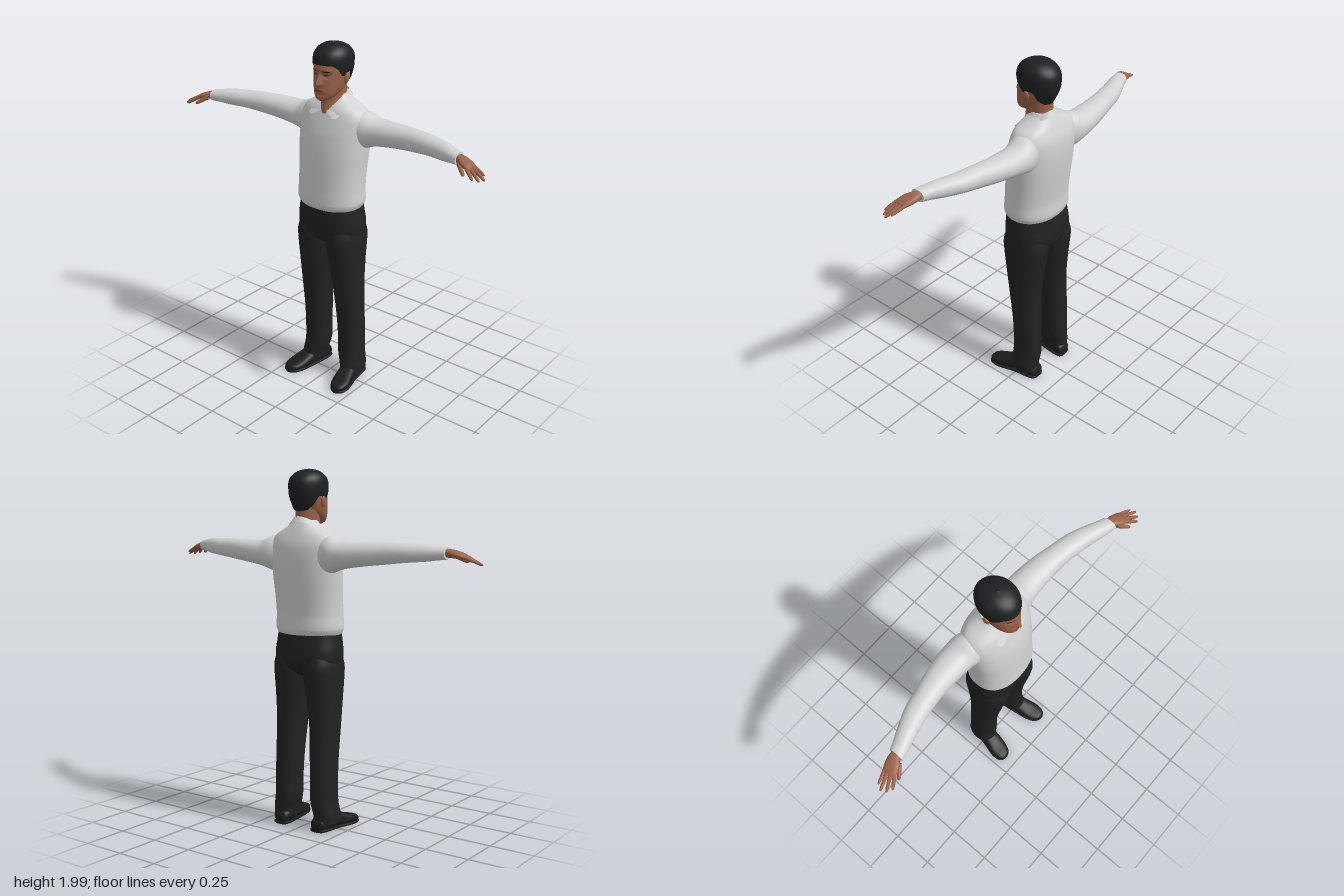
import * as THREE from 'three';

const mat = (name, color, side = THREE.FrontSide) => {
  const m = new THREE.MeshStandardMaterial({ color, side });
  m.name = name;
  return m;
};

// Smooth interpolation of a ring table [key, centreX, halfWidth, zFront, zBack] at a key
function sample(rings, key) {
  let i = 0;
  while (i < rings.length - 2 && key > rings[i + 1][0]) i++;
  const a = rings[i], b = rings[i + 1], p = rings[i - 1] || a, q = rings[i + 2] || b;
  const h = b[0] - a[0], t = (key - a[0]) / h, t2 = t * t, t3 = t2 * t;
  return a.map((v, k) => k === 0 ? key :
    v * (2 * t3 - 3 * t2 + 1) + b[k] * (3 * t2 - 2 * t3) +
    (t3 - 2 * t2 + t) * h * (b[k] - p[k]) / (b[0] - p[0]) +
    (t3 - t2) * h * (q[k] - v) / (q[0] - a[0]));
}

// Point on a superelliptic ring; angle 0 faces +z
function ringPoint([y, cx, w, zf, zb], t, n = 2) {
  const pow = v => Math.sign(v) * Math.abs(v) ** (2 / n);
  return [cx + w * pow(Math.sin(t)), y, (zf + zb) / 2 + (zf - zb) / 2 * pow(Math.cos(t))];
}

// Closed surface from rows of points, each row wrapping round
function skinRows(rows, caps = true) {
  const seg = rows[0].length, pos = rows.flat(2), idx = [];
  for (let i = 0; i < rows.length - 1; i++)
    for (let j = 0; j < seg; j++) {
      const k = (j + 1) % seg, a = i * seg + j, b = i * seg + k;
      idx.push(a, b, b + seg, a, b + seg, a + seg);
    }
  if (caps) for (const end of [0, rows.length - 1]) {
    const base = pos.length / 3, row = rows[end];
    pos.push(...row.flat());
    for (let c = 0; c < 3; c++) pos.push(row.reduce((s, p) => s + p[c], 0) / seg);
    for (let j = 0; j < seg; j++) {
      const a = base + j, b = base + (j + 1) % seg;
      idx.push(base + seg, ...(end ? [a, b] : [b, a]));
    }
  }
  const g = new THREE.BufferGeometry();
  g.setAttribute('position', new THREE.Float32BufferAttribute(pos, 3));
  g.setIndex(idx);
  g.computeVertexNormals();
  return g;
}

function loft(rings, { n = 2, seg = 32, sub = 5, tweak } = {}) {
  const rows = [];
  for (let i = 0; i <= (rings.length - 1) * sub; i++) {
    const s = Math.min(Math.floor(i / sub), rings.length - 2), f = i / sub - s;
    const ring = sample(rings, rings[s][0] * (1 - f) + rings[s + 1][0] * f);
    rows.push(Array.from({ length: seg }, (_, j) => {
      const p = ringPoint(ring, j / seg * Math.PI * 2, n);
      return tweak ? tweak(p) : p;
    }));
  }
  return skinRows(rows);
}

function mirrored(geo) {
  const g = geo.clone().applyMatrix4(new THREE.Matrix4().makeScale(-1, 1, 1));
  const ix = g.index.array;
  for (let i = 0; i < ix.length; i += 3) [ix[i], ix[i + 1]] = [ix[i + 1], ix[i]];
  return g;
}

// Head profile, with nose, brow and eye sockets pushed in by rule
const HEAD = [
  [1.693, 0, 0.018, 0.085, 0.03], [1.705, 0, 0.042, 0.1, 0], [1.73, 0, 0.064, 0.102, -0.04],
  [1.76, 0, 0.077, 0.1, -0.08], [1.8, 0, 0.086, 0.098, -0.11], [1.84, 0, 0.091, 0.095, -0.125],
  [1.88, 0, 0.092, 0.091, -0.13], [1.92, 0, 0.088, 0.08, -0.125], [1.95, 0, 0.068, 0.055, -0.1],
  [1.97, 0, 0.03, 0.02, -0.06]];
const bell = (v, c, s) => Math.exp(-(((v - c) / s) ** 2));
const faceBump = (x, y) => {
  const ridge = y > 1.787 ? Math.max(0, 1 - (y - 1.787) / 0.065) : bell(y, 1.787, 0.012);
  const ax = Math.abs(x);
  return 0.027 * ridge * bell(x, 0, 0.009 + 0.008 * ridge)
    - 0.009 * bell(ax, 0.035, 0.02) * bell(y, 1.832, 0.014)
    + 0.004 * bell(ax, 0.035, 0.03) * bell(y, 1.858, 0.012)
    + 0.005 * bell(x, 0, 0.028) * bell(y, 1.753, 0.012)
    - 0.004 * bell(x, 0, 0.03) * bell(y, 1.731, 0.008);
};
const faceZ = (x, y) => {
  const [, , w, zf, zb] = sample(HEAD, y);
  return (zf + zb) / 2 + (zf - zb) / 2 * Math.sqrt(Math.max(0, 1 - (x / w) ** 2)) + faceBump(x, y);
};

// Thin oval painted on the face
function facePatch(cx, cy, rx, ry, tilt = 0) {
  const g = new THREE.CircleGeometry(1, 20).scale(rx, ry, 1).rotateZ(tilt).translate(cx, cy, 0);
  const p = g.attributes.position;
  for (let i = 0; i < p.count; i++) p.setZ(i, faceZ(p.getX(i), p.getY(i)) + 0.0022);
  g.computeVertexNormals();
  return g;
}

// Hair cap whose lower edge follows the hairline
function hairGeometry() {
  const prof = [
    [1.75, 0, 0.066, 0.04, -0.1], [1.8, 0, 0.086, 0.07, -0.126], [1.84, 0, 0.096, 0.092, -0.144],
    [1.88, 0, 0.1, 0.099, -0.15], [1.92, 0, 0.1, 0.094, -0.146], [1.95, 0, 0.088, 0.076, -0.126],
    [1.973, 0, 0.063, 0.044, -0.092], [1.984, 0, 0.033, 0.012, -0.055], [1.988, 0, 0.002, -0.02, -0.024]];
  const line = [[0, 1.888], [0.7, 1.885], [1.0, 1.865], [1.2, 1.825], [1.45, 1.82], [1.6, 1.845],
    [1.85, 1.84], [2.1, 1.795], [2.5, 1.768], [3.15, 1.76]];
  const edge = t => {
    const a = Math.min(t, Math.PI * 2 - t);
    const i = line.findIndex(l => l[0] > a), [p, q] = [line[i - 1], line[i]];
    return p[1] + (q[1] - p[1]) * (a - p[0]) / (q[0] - p[0]);
  };
  const rows = [];
  for (let i = -1; i <= 30; i++)
    rows.push(Array.from({ length: 64 }, (_, j) => {
      const t = j / 64 * Math.PI * 2, v = Math.max(i, 0) / 30, low = edge(t);
      const p = ringPoint(sample(prof, low + (1.988 - low) * (1 - (1 - v) ** 1.6)), t);
      return i < 0 ? [p[0] * 0.84, p[1], -0.025 + (p[2] + 0.025) * 0.84] : p;
    }));
  return skinRows(rows, false);
}

// Folded collar, open at the front and drawn into two points
function collarGeometry() {
  const pos = [], idx = [], N = 48, M = 4;
  for (let i = 0; i <= N; i++) {
    const a = (i / N * 2 - 1) * 2.95, s = Math.sin(a), c = Math.cos(a);
    const tip = THREE.MathUtils.smoothstep(Math.abs(a), 1.9, 2.75);
    const top = [0.074 * s, 1.685 + 0.05 * c, -0.03 - 0.09 * c];
    const low = [0.094 * s + Math.sign(a) * 0.05 * tip, 1.662 + 0.045 * c - 0.012 * tip, -0.034 - 0.106 * c + 0.006 * tip];
    for (let k = 0; k <= M; k++)
      for (let d = 0; d < 3; d++) pos.push(top[d] + (low[d] - top[d]) * k / M);
  }
  for (let i = 0; i < N; i++)
    for (let k = 0; k < M; k++) {
      const a = i * (M + 1) + k, b = a + M + 1;
      idx.push(a, b, b + 1, a, b + 1, a + 1);
    }
  const g = new THREE.BufferGeometry();
  g.setAttribute('position', new THREE.Float32BufferAttribute(pos, 3));
  g.setIndex(idx);
  g.computeVertexNormals();
  return g;
}

// Tapered finger with a rounded tip
function finger(from, to, r) {
  const a = new THREE.Vector3(...from), d = new THREE.Vector3(...to).sub(a), L = d.length();
  const ring = (f, k) => [f * L, 0, r * k, r * k, -r * k];
  const g = loft([ring(0, 1.1), ring(0.5, 1), ring(0.85, 0.8), ring(0.95, 0.55), ring(1, 0.1)], { seg: 10, sub: 2 });
  return g.applyQuaternion(new THREE.Quaternion().setFromUnitVectors(new THREE.Vector3(0, 1, 0), d.normalize()))
    .translate(a.x, a.y, a.z);
}

export function createModel() {
  const root = new THREE.Group();
  const skin = mat('skin', 0x9a634a), shirt = mat('shirt white', 0xd2d2d2);
  const collarWhite = mat('collar white', 0xcdcdcd, THREE.DoubleSide);
  const cloth = mat('trouser black', 0x222223), leather = mat('shoe black', 0x1d1d1e);
  const hairDark = mat('hair black', 0x1e2021), lipTone = mat('lip brown', 0x7d4a3c), eyeDark = mat('eye dark', 0x33241f);
  const add = (name, geo, m) => {
    const mesh = new THREE.Mesh(geo, m);
    mesh.name = name;
    root.add(mesh);
  };
  const pair = (name, geo, m) => {
    add(name + 'Left', geo, m);
    add(name + 'Right', mirrored(geo), m);
  };

  // Head, neck and face
  add('head', loft(HEAD, { seg: 96, sub: 8, tweak: ([x, y, z]) => [x, y, z > 0.03 ? z + faceBump(x, y) : z] }), skin);
  add('neck', loft([[1.6, 0, 0.05, 0.056, -0.09], [1.625, 0, 0.055, 0.06, -0.1], [1.66, 0, 0.06, 0.052, -0.105],
    [1.72, 0, 0.062, 0.042, -0.105], [1.8, 0, 0.066, 0.03, -0.105]]), skin);
  add('hair', hairGeometry(), hairDark);
  pair('ear', new THREE.SphereGeometry(1, 16, 12).scale(0.011, 0.031, 0.019).rotateZ(-0.15).rotateX(-0.15).translate(0.094, 1.812, -0.018), skin);
  pair('eyebrow', facePatch(0.036, 1.854, 0.021, 0.004, -0.08), hairDark);
  pair('eye', facePatch(0.035, 1.833, 0.013, 0.0045), eyeDark);
  add('lips', facePatch(0, 1.752, 0.027, 0.0065), lipTone);
  add('mouthLine', facePatch(0, 1.753, 0.026, 0.0012).translate(0, 0, 0.0012), eyeDark);

  // Shirt
  add('shirtBody', loft([
    [1.09, 0, 0.18, 0.124, -0.146], [1.105, 0, 0.189, 0.133, -0.153], [1.13, 0, 0.197, 0.136, -0.158],
    [1.2, 0, 0.194, 0.131, -0.156], [1.3, 0, 0.196, 0.124, -0.166], [1.4, 0, 0.203, 0.115, -0.176],
    [1.5, 0, 0.207, 0.098, -0.181], [1.56, 0, 0.208, 0.08, -0.177], [1.6, 0, 0.202, 0.066, -0.168],
    [1.64, 0, 0.174, 0.05, -0.152], [1.67, 0, 0.118, 0.03, -0.138], [1.695, 0, 0.08, 0.012, -0.125],
    [1.715, 0, 0.066, 0, -0.115]], { n: 2.3, seg: 48 }), shirt);
  add('collar', collarGeometry(), collarWhite);
  pair('sleeve', loft([
    [0.13, -1.53, 0.1, 0.03, -0.14], [0.19, -1.533, 0.099, 0.02, -0.16], [0.25, -1.531, 0.077, 0.008, -0.163],
    [0.32, -1.536, 0.068, 0.004, -0.157], [0.42, -1.543, 0.062, 0.004, -0.14], [0.52, -1.549, 0.057, 0.012, -0.115],
    [0.62, -1.553, 0.05, 0.03, -0.092], [0.72, -1.556, 0.045, 0.055, -0.05], [0.79, -1.556, 0.036, 0.073, -0.017],
    [0.825, -1.555, 0.032, 0.08, -0.004]], { n: 2.1 }).rotateZ(-Math.PI / 2), shirt);

  // Hands
  pair('palm', loft([
    [0.78, -1.557, 0.022, 0.06, 0.005], [0.83, -1.555, 0.022, 0.072, 0.01], [0.86, -1.551, 0.021, 0.092, 0.012],
    [0.9, -1.541, 0.016, 0.104, 0.024], [0.918, -1.536, 0.01, 0.1, 0.035]], { n: 2.2 }).rotateZ(-Math.PI / 2), skin);
  [['index', [0.9, 1.54, 0.096], [0.957, 1.502, 0.13], 0.0095], ['middle', [0.905, 1.541, 0.076], [0.985, 1.495, 0.113], 0.0095],
    ['ring', [0.905, 1.541, 0.056], [1, 1.497, 0.087], 0.009], ['little', [0.9, 1.541, 0.036], [0.982, 1.51, 0.06], 0.008],
    ['thumb', [0.845, 1.545, 0.075], [0.902, 1.508, 0.122], 0.0115]]
    .forEach(([n, a, b, r]) => pair(n + 'Finger', finger(a, b, r), skin));

  // Trousers
  add('trouserHips', loft([
    [0.865, 0, 0.1, 0.05, -0.09], [0.9, 0, 0.172, 0.1, -0.135], [0.94, 0, 0.193, 0.12, -0.157],
    [1, 0, 0.196, 0.126, -0.16], [1.06, 0, 0.188, 0.125, -0.152], [1.13, 0, 0.178, 0.12, -0.145]], { n: 2.4, seg: 48 }), cloth);
  pair('trouserLeg', loft([
    [0.045, 0.139, 0.064, 0.05, -0.122], [0.09, 0.137, 0.067, 0.048, -0.125], [0.16, 0.123, 0.07, 0.042, -0.13],
    [0.25, 0.121, 0.07, 0.041, -0.13], [0.4, 0.118, 0.073, 0.049, -0.126], [0.6, 0.113, 0.079, 0.076, -0.122],
    [0.75, 0.105, 0.088, 0.1, -0.136], [0.85, 0.1, 0.096, 0.114, -0.149], [0.92, 0.098, 0.098, 0.118, -0.155],
    [0.98, 0.096, 0.09, 0.1, -0.14]], { n: 2.2 }), cloth);

  // Shoes: lofted heel to toe, then turned so the length runs along z
  const shoe = [[-0.132, 0.127, 0.026, -0.012, -0.05], [-0.122, 0.128, 0.041, -0.006, -0.07], [-0.08, 0.131, 0.049, -0.006, -0.09],
    [0, 0.141, 0.05, -0.006, -0.1], [0.05, 0.151, 0.053, -0.006, -0.083], [0.11, 0.164, 0.056, -0.006, -0.06],
    [0.155, 0.171, 0.046, -0.006, -0.048], [0.177, 0.174, 0.03, -0.008, -0.04], [0.187, 0.175, 0.008, -0.014, -0.028]];
  pair('shoe', loft(shoe, { n: 2.5 }).rotateX(Math.PI / 2), leather);
  pair('sole', loft(shoe.map(([z, cx, w]) => [z, cx, w + 0.003, 0, -0.018]), { n: 4 }).rotateX(Math.PI / 2), leather);
  return root;
}
